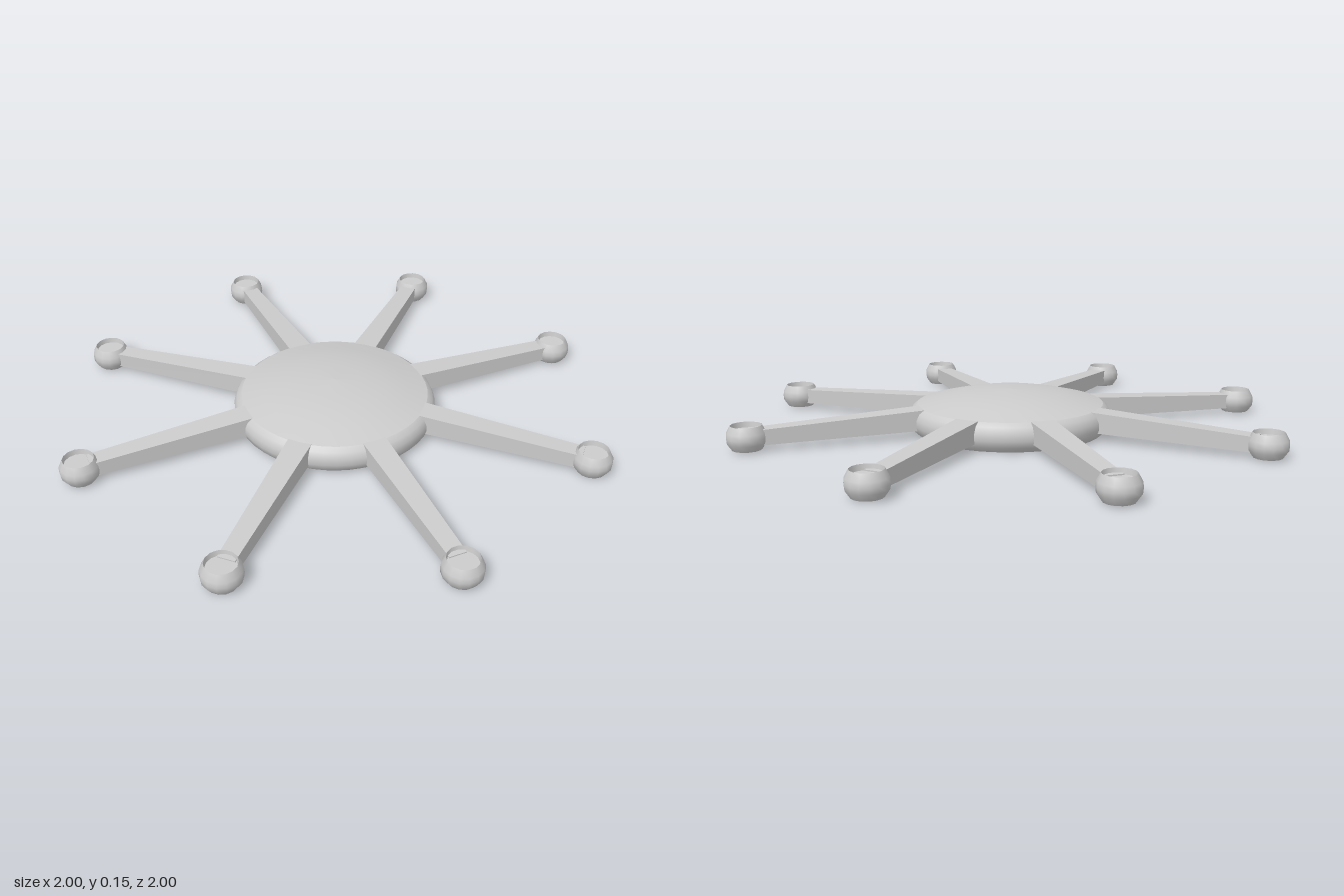
import * as THREE from 'three';

const material = new THREE.MeshStandardMaterial({ color: 0xcccccc, side: THREE.DoubleSide });

// Revolved part from [radius, height] pairs, listed bottom to top
function lathe(name, points, sides) {
  const profile = points.map(([r, y]) => new THREE.Vector2(r, y));
  const mesh = new THREE.Mesh(new THREE.LatheGeometry(profile, sides), material);
  mesh.name = name;
  return mesh;
}

// Straight tapered arm running along +x, sloping down to the foot
function createArm() {
  const inner = { x: 0.31, top: 0.103, bottom: 0.03, half: 0.043 };
  const outer = { x: 0.90, top: 0.072, bottom: 0.02, half: 0.03 };
  const geometry = new THREE.BoxGeometry(1, 1, 1);
  const p = geometry.attributes.position;
  for (let i = 0; i < p.count; i++) {
    const end = p.getX(i) < 0 ? inner : outer;
    const y = p.getY(i) > 0 ? end.top : end.bottom;
    p.setXYZ(i, end.x, y, Math.sign(p.getZ(i)) * end.half);
  }
  geometry.computeVertexNormals();
  const arm = new THREE.Mesh(geometry, material);
  arm.name = 'arm';
  return arm;
}

// Rounded foot with a shallow recess in its top
function createFoot() {
  const foot = new THREE.Group();
  foot.name = 'foot';
  foot.add(
    lathe('footBase', [[0, 0.004], [0.05, 0.004]], 14),
    lathe('footWall', [[0.05, 0.004], [0.066, 0.027], [0.068, 0.045], [0.066, 0.063], [0.053, 0.087]], 14),
    lathe('footRecessWall', [[0.053, 0.087], [0.05, 0.068]], 14),
    lathe('footRecessFloor', [[0.05, 0.068], [0, 0.068]], 14)
  );
  foot.position.x = 0.932;
  return foot;
}

export function createModel() {
  const model = new THREE.Group();
  model.name = 'eightArmedBase';

  // Central hub: flat underside, bulging rim, shallow domed top
  const hub = new THREE.Group();
  hub.name = 'hub';
  hub.add(
    lathe('hubUnderside', [[0, 0], [0.335, 0]], 48),
    lathe('hubRim', [[0.335, 0], [0.355, 0.018], [0.363, 0.042], [0.362, 0.066], [0.352, 0.088], [0.335, 0.101]], 48),
    lathe('hubDome', [[0.335, 0.101], [0.26, 0.12], [0.18, 0.137], [0.09, 0.146], [0, 0.15]], 48)
  );
  model.add(hub);

  // Eight arms, each ending in a foot
  for (let i = 0; i < 8; i++) {
    const spoke = new THREE.Group();
    spoke.name = `spoke${i + 1}`;
    spoke.add(createArm(), createFoot());
    spoke.rotation.y = (i * Math.PI) / 4;
    model.add(spoke);
  }
  return model;
}
